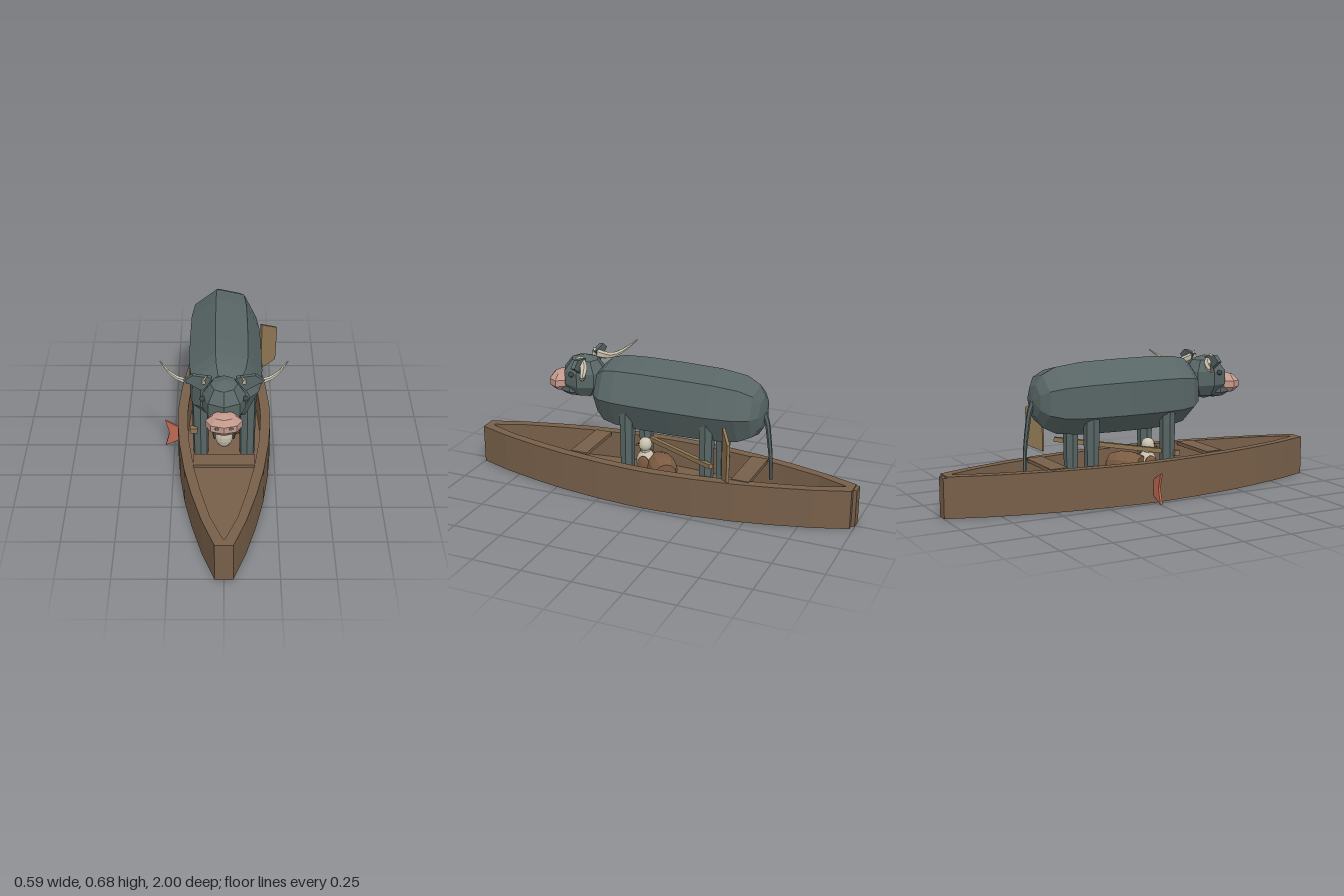
import * as THREE from 'three';

const mat = (name, color) =>
  Object.assign(new THREE.MeshStandardMaterial({ color, flatShading: true }), { name });

// Tube along points whose radius changes from r0 to r1
function taperedTube(points, r0, r1, rings = 10, sides = 6) {
  const curve = new THREE.CatmullRomCurve3(points.map((p) => new THREE.Vector3(...p)));
  const geo = new THREE.TubeGeometry(curve, rings, 1, sides);
  const pos = geo.attributes.position, v = new THREE.Vector3();
  for (let i = 0; i < pos.count; i++) {
    const t = Math.floor(i / (sides + 1)) / rings;
    const c = curve.getPointAt(t);
    v.fromBufferAttribute(pos, i).sub(c).multiplyScalar(r0 + (r1 - r0) * t).add(c);
    pos.setXYZ(i, v.x, v.y, v.z);
  }
  return geo;
}

// Upright plate cut from a front outline
function plate(points, depth) {
  const shape = new THREE.Shape(points.map((p) => new THREE.Vector2(...p)));
  return new THREE.ExtrudeGeometry(shape, { depth, bevelEnabled: false }).translate(0, 0, -depth / 2);
}

// Closed boat outline, counter-clockwise, from half widths [x, z] running from bow to middle
function outline(half, scale = 1) {
  const bow = half.map(([x, z]) => new THREE.Vector2(x * scale, z));
  const right = [...bow, ...bow.slice(0, -1).reverse().map((p) => new THREE.Vector2(p.x, -p.y))];
  const left = right.map((p) => new THREE.Vector2(-p.x, p.y)).reverse();
  return [...right, ...left].reverse();
}

// Solid of revolution around the z axis
const latheZ = (profile, sides, start) =>
  new THREE.LatheGeometry(profile.map((p) => new THREE.Vector2(...p)), sides, start).rotateX(Math.PI / 2);

export function createModel() {
  const model = new THREE.Group();
  model.name = 'buffaloInBoat';

  const wood = mat('wood', 0x775f49);
  const hide = mat('hide', 0x586665);
  const pink = mat('muzzlePink', 0xc4998d);
  const ivory = mat('ivory', 0xc9c2ae);
  const tan = mat('tanWood', 0x8f7653);
  const red = mat('fishRed', 0xc06953);
  const dark = mat('dark', 0x3a484b);
  const barrelBrown = mat('barrelBrown', 0x7d5c43);
  const beakTan = mat('beakTan', 0xa47a4c);

  function add(parent, name, geo, material, pos = [0, 0, 0], scale = [1, 1, 1], rot = [0, 0, 0]) {
    const m = new THREE.Mesh(geo, material);
    m.name = name;
    m.position.set(...pos);
    m.scale.set(...scale);
    m.rotation.set(...rot);
    parent.add(m);
    return m;
  }
  const group = (name) => {
    const g = new THREE.Group();
    g.name = name;
    model.add(g);
    return g;
  };

  // Boat: hollow hull, floor, benches and stern post
  const boat = group('boat');
  const outer = [[0.042, 0.991], [0.1, 0.825], [0.15, 0.635], [0.187, 0.455], [0.215, 0.25], [0.228, 0.08], [0.23, 0]];
  const inner = [[0.004, 0.95], [0.062, 0.8], [0.108, 0.61], [0.143, 0.43], [0.168, 0.24], [0.179, 0.08], [0.181, 0]];
  const hullShape = new THREE.Shape(outline(outer));
  hullShape.holes.push(new THREE.Path(outline(inner)));
  const hull = new THREE.ExtrudeGeometry(hullShape, { depth: 0.197, bevelEnabled: false });
  add(boat, 'hull', hull.rotateX(-Math.PI / 2), wood, [0, 0, 0.009]);
  const floor = new THREE.ExtrudeGeometry(new THREE.Shape(outline(outer, 0.93)), { depth: 0.054, bevelEnabled: false });
  add(boat, 'floor', floor.rotateX(-Math.PI / 2), wood, [0, 0.003, 0.009], [1, 1, 0.99]);
  add(boat, 'sternPost', new THREE.BoxGeometry(0.056, 0.19, 0.03), wood, [-0.014, 0.096, -0.985]);
  for (const z of [0.39, -0.465]) {
    add(boat, 'bench', new THREE.BoxGeometry(0.29, 0.018, 0.088), wood, [0, 0.192, z]);
  }
  add(boat, 'floorPlug', new THREE.CylinderGeometry(1, 1, 0.006, 14), ivory, [0, 0.003, 0.045], [0.018, 1, 0.05]);

  // Buffalo body: seven-sided barrel shape along z
  const buffalo = group('buffalo');
  const bodyProfile = [[0, -0.538], [0.08, -0.525], [0.13, -0.495], [0.164, -0.43], [0.18, -0.3], [0.184, -0.1],
    [0.184, 0.08], [0.178, 0.2], [0.162, 0.27], [0.122, 0.315], [0, 0.333]];
  add(buffalo, 'body', latheZ(bodyProfile, 7, Math.PI / 2), hide, [0, 0.505, 0]);

  // Legs
  for (const x of [-0.114, 0.114]) for (const z of [0.135, -0.28]) {
    add(buffalo, 'leg', new THREE.CylinderGeometry(0.046, 0.037, 0.5, 7), hide, [x, 0.25, z], [1, 1, 0.88]);
  }

  // Tail
  add(buffalo, 'tail', taperedTube([[0, 0.52, -0.515], [0.004, 0.48, -0.54], [0.008, 0.37, -0.56],
    [0.01, 0.26, -0.572], [0.01, 0.17, -0.575]], 0.014, 0.008, 10, 6), hide);

  // Head, jaw and muzzle
  const lowBall = new THREE.SphereGeometry(1, 8, 5);
  add(buffalo, 'head', lowBall, hide, [0, 0.557, 0.415], [0.106, 0.111, 0.118]);
  add(buffalo, 'jaw', lowBall, hide, [0, 0.492, 0.47], [0.075, 0.043, 0.09]);
  add(buffalo, 'muzzle', lowBall, pink, [0, 0.518, 0.542], [0.088, 0.052, 0.064]);

  // Mirrored face parts, ears and horns
  const ball = new THREE.SphereGeometry(1, 14, 10);
  for (const s of [-1, 1]) {
    add(buffalo, 'nostril', ball, hide, [s * 0.03, 0.523, 0.592], [0.012, 0.008, 0.006]);
    add(buffalo, 'eye', ball, dark, [s * 0.098, 0.586, 0.445], [0.013, 0.013, 0.013]);
    const ear = [[0.055, 0.668], [0.075, 0.625], [0.1, 0.6], [0.183, 0.652], [0.142, 0.682]].map(([x, y]) => [x * s, y]);
    add(buffalo, 'ear', plate(ear, 0.02), hide, [0, 0, 0.392]);
    add(buffalo, 'horn', taperedTube([[s * 0.068, 0.66, 0.412], [s * 0.1, 0.638, 0.375], [s * 0.15, 0.62, 0.352],
      [s * 0.205, 0.618, 0.33], [s * 0.255, 0.638, 0.298], [s * 0.295, 0.671, 0.262]], 0.024, 0.003), ivory);
  }

  // Paddle lying across the boat
  const paddle = group('paddle');
  const from = new THREE.Vector3(-0.147, 0.216, 0.17), to = new THREE.Vector3(0.192, 0.27, -0.335);
  const shaft = add(paddle, 'paddleShaft', new THREE.BoxGeometry(0.022, 0.022, from.distanceTo(to)), tan);
  shaft.position.copy(from).lerp(to, 0.5);
  shaft.lookAt(to);
  add(paddle, 'paddleHandle', new THREE.BoxGeometry(0.034, 0.026, 0.03), tan, [-0.147, 0.215, 0.165]);
  const blade = plate([[0, 0.215], [0.09, 0.24], [0.098, 0.43], [0, 0.478]], 0.014);
  add(paddle, 'paddleBlade', blade, tan, [0.191, 0, -0.395], [1, 1, 1], [0, 0.6, 0]);

  // Fish tail sticking out of the hull side
  add(model, 'fishTail', plate([[-0.22, 0.04], [-0.22, 0.11], [-0.295, 0.156], [-0.275, 0.08], [-0.295, 0.004]], 0.012), red);

  // Barrel lying between the legs, with a bung at its far end
  const barrel = group('barrel');
  barrel.position.set(0.03, 0.135, -0.015);
  barrel.rotation.y = 0.6 + Math.PI / 2;
  const staves = [[0, -0.085], [0.056, -0.085], [0.072, -0.03], [0.072, 0.03], [0.056, 0.085], [0, 0.085]];
  add(barrel, 'barrelBody', latheZ(staves, 12), barrelBrown);
  const bung = [[0, 0.08], [0.018, 0.08], [0.018, 0.11], [0, 0.11]];
  add(barrel, 'barrelBung', latheZ(bung, 8), tan);

  // Bird sitting in front of the barrel
  const bird = group('bird');
  add(bird, 'birdBody', ball, ivory, [0, 0.135, 0.085], [0.048, 0.075, 0.052]);
  add(bird, 'birdHead', ball, ivory, [0, 0.236, 0.09], [0.034, 0.036, 0.034]);
  add(bird, 'birdNeck', new THREE.CylinderGeometry(0.02, 0.03, 0.05, 10), ivory, [0, 0.2, 0.088]);
  add(bird, 'birdBeak', new THREE.ConeGeometry(0.012, 0.04, 6), beakTan, [0, 0.226, 0.132], [1, 1, 1], [Math.PI / 2 + 0.5, 0, 0]);
  for (const s of [-1, 1]) {
    add(bird, 'birdWing', ball, barrelBrown, [s * 0.046, 0.145, 0.08], [0.012, 0.045, 0.034]);
    add(bird, 'birdEye', ball, dark, [s * 0.026, 0.245, 0.113], [0.004, 0.004, 0.004]);
  }
  return model;
}
